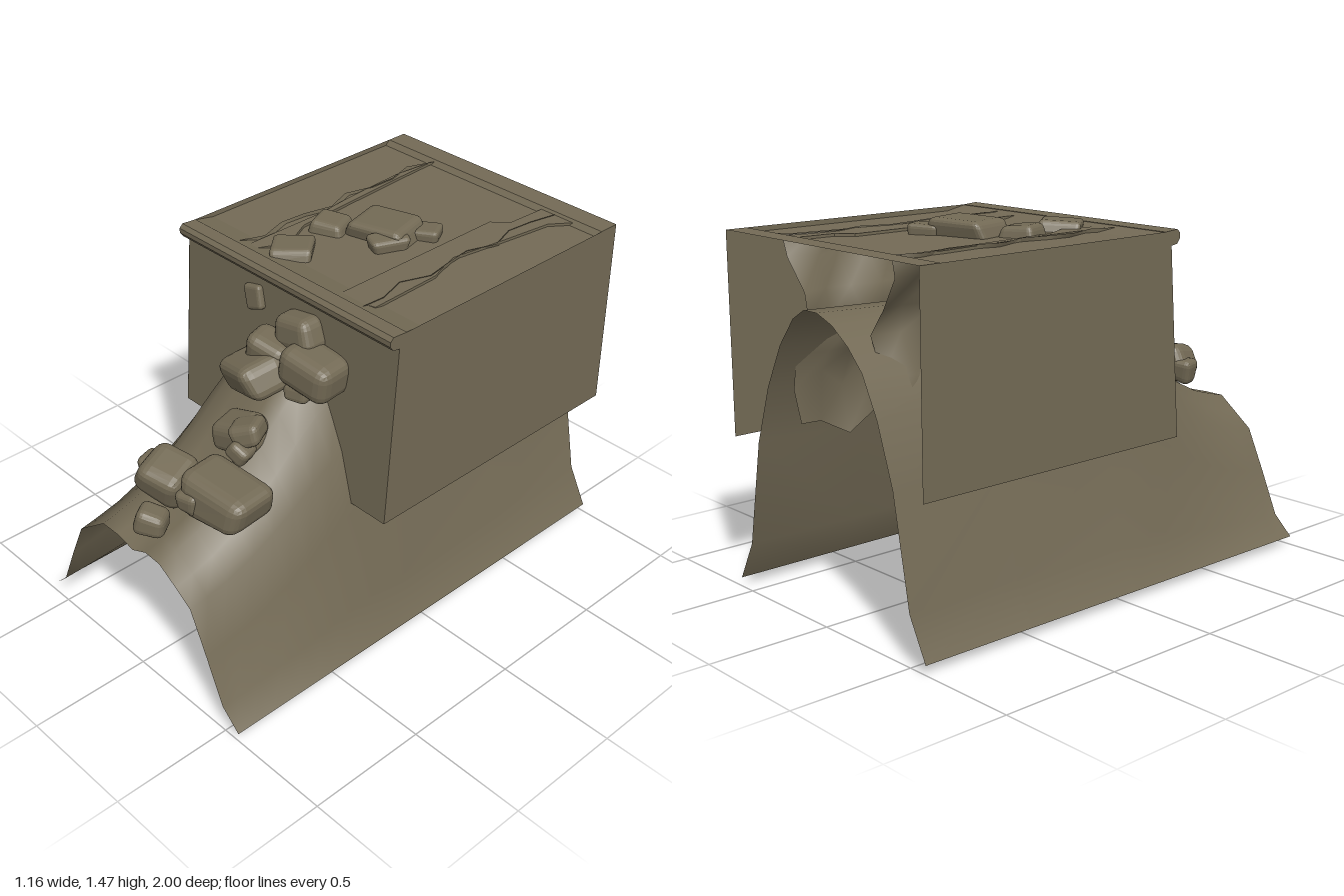
import * as THREE from 'three';
import { RoundedBoxGeometry } from 'three/addons/geometries/RoundedBoxGeometry.js';

const stone = new THREE.MeshStandardMaterial({ color: 0x736a55, side: THREE.DoubleSide });
stone.name = 'brown stone';

// Smooth open surface through rows of [x, y, z] points
function loft(rows) {
  const n = rows[0].length, index = [];
  for (let i = 0; i < rows.length - 1; i++) {
    for (let j = 0; j < n - 1; j++) {
      const a = i * n + j, b = a + n;
      index.push(a, b, a + 1, a + 1, b, b + 1);
    }
  }
  const g = new THREE.BufferGeometry();
  g.setAttribute('position', new THREE.Float32BufferAttribute(rows.flat(2), 3));
  g.setIndex(index);
  g.computeVertexNormals();
  return g;
}

// Sheet with hard edges, following a [z, y] profile across the width
function foldedSheet(profile, x0, x1) {
  const flat = loft([x0, x1].map(x => profile.map(([z, y]) => [x, y, z]))).toNonIndexed();
  flat.computeVertexNormals();
  return flat;
}

export function createModel() {
  const model = new THREE.Group();
  const add = (name, geometry, parent = model) => {
    const mesh = new THREE.Mesh(geometry, stone);
    mesh.name = name;
    parent.add(mesh);
    return mesh;
  };
  const L = -0.585, R = 0.575;

  // Block: roof, front wall and two side walls, open below and behind
  add('roof', foldedSheet([[-1, 1.425], [-0.91, 1.425], [-0.89, 1.405], [0.08, 1.405], [0.18, 1.425]], L, R));
  add('frontWall', foldedSheet([[0.2, 1.4], [0.26, 0.62]], L, R));
  for (const x of [L, R]) {
    const s = new THREE.Shape();
    s.moveTo(-1, 0.62);
    s.lineTo(0.26, 0.62);
    s.lineTo(0.2, 1.425);
    s.lineTo(-1, 1.425);
    const wall = add('sideWall', new THREE.ShapeGeometry(s));
    wall.rotation.y = -Math.PI / 2;
    wall.position.x = x;
  }

  // Rounded lip along the top front edge
  const lip = new THREE.Shape();
  [[0.17, 1.425], [0.235, 1.43], [0.25, 1.415], [0.25, 1.395], [0.235, 1.375], [0.2, 1.37], [0.17, 1.375]]
    .forEach(([z, y], i) => (i ? lip.lineTo(-z, y) : lip.moveTo(-z, y)));
  const lipMesh = add('frontLip', new THREE.ExtrudeGeometry(lip, { depth: R - L, bevelEnabled: false }));
  lipMesh.rotation.y = Math.PI / 2;
  lipMesh.position.x = L;

  // Arched ridge: a low front section blending into a tall rear one
  const low = [[L, 0.04], [-0.5, 0.12], [-0.42, 0.3], [-0.34, 0.47], [-0.26, 0.53], [-0.18, 0.59], [-0.09, 0.59],
    [0, 0.57], [0.08, 0.605], [0.16, 0.6], [0.25, 0.545], [0.33, 0.49], [0.41, 0.31], [0.49, 0.12], [R, 0.04]];
  const tall = [[L, 0.04], [-0.5, 0.2], [-0.42, 0.62], [-0.34, 0.85], [-0.26, 1.0], [-0.18, 1.08], [-0.09, 1.14],
    [0, 1.17], [0.08, 1.17], [0.15, 1.13], [0.24, 1.02], [0.33, 0.85], [0.41, 0.62], [0.49, 0.2], [R, 0.04]];
  const stations = [[1, 0], [0.92, 0.04], [0.82, 0.1], [0.7, 0.22], [0.6, 0.36], [0.5, 0.52], [0.4, 0.7],
    [0.3, 0.86], [0.2, 0.96], [0.05, 1], [-0.5, 1], [-1, 1.03]];
  add('ridge', loft(stations.map(([z, t]) => low.map(([x, y], i) => [
    THREE.MathUtils.lerp(x, tall[i][0], t), THREE.MathUtils.lerp(y, tall[i][1], t), z]))));

  // Ragged rock curtains hanging from the roof inside the ridge
  const hang = [[0.33, 1.42], [0.31, 1.34], [0.24, 1.22], [0.2, 1.12], [0.26, 0.98], [0.31, 0.85], [0.29, 0.68]];
  for (const side of [-1, 1]) {
    const rows = [];
    for (let i = 0; i <= 9; i++) {
      const z = -0.9 + i * 0.119;
      rows.push(hang.map(([x, y], j) => [
        side * (x + 0.025 * Math.sin(i * 2.3 + j * 1.7 + side)),
        y + (j > 4 ? 0.05 * Math.sin(i * 2.1 + j + side) : 0), z]));
    }
    add('rockCurtain', loft(rows));
  }

  // Torn strips along the roof
  const strip = (points) => {
    const s = new THREE.Shape();
    points.forEach(([x, z], i) => (i ? s.lineTo(x, -z) : s.moveTo(x, -z)));
    const mesh = add('roofStrip', new THREE.ExtrudeGeometry(s, { depth: 0.012, bevelEnabled: false }));
    mesh.rotation.x = -Math.PI / 2;
    mesh.position.y = 1.404;
  };
  strip([[-0.32, -0.9], [-0.34, -0.7], [-0.32, -0.4], [-0.3, -0.25], [-0.3, 0.16], [-0.27, 0.17],
    [-0.2, 0.02], [-0.27, -0.12], [-0.29, -0.4], [-0.31, -0.7]]);
  strip([[0.28, -0.9], [0.27, -0.72], [0.21, -0.67], [0.21, 0.17], [0.37, 0.12], [0.36, -0.2],
    [0.31, -0.35], [0.35, -0.6], [0.38, -0.82], [0.44, -0.9]]);

  // Worn boulders: position, size, tilt
  const boulder = (parent, [x, y, z, w, h, d, rx = 0, ry = 0, rz = 0], k) => {
    const g = new RoundedBoxGeometry(w, h, d, 2, Math.min(w, h, d) * 0.3);
    const p = g.attributes.position;
    for (let i = 0; i < p.count; i++) {
      const u = p.getX(i) / w, v = p.getY(i) / h, q = p.getZ(i) / d;
      p.setXYZ(i, p.getX(i) * (1 + 0.25 * v * Math.sin(k * 2)), p.getY(i) * (1 + 0.3 * u * Math.cos(k * 3)),
        p.getZ(i) * (1 - 0.3 * v * Math.cos(k) + 0.1 * q));
    }
    g.computeVertexNormals();
    const mesh = add('boulder', g, parent);
    mesh.position.set(x, y, z);
    mesh.rotation.set(rx, ry, rz);
  };
  const piles = {
    ridgeBoulders: [
      [0.19, 0.765, 0.69, 0.3, 0.17, 0.23, 0, 0.1, -0.03],
      [-0.08, 0.755, 0.76, 0.2, 0.16, 0.19, 0.2, 0.3, -0.4],
      [-0.175, 0.74, 0.75, 0.09, 0.1, 0.1, 0, 0.3, 0.2],
      [0.1, 0.75, 0.79, 0.1, 0.09, 0.09, 0, 0.2, 0],
      [0.025, 0.685, 0.92, 0.12, 0.1, 0.11, 0, 0.6, -0.2],
      [0.05, 0.9, 0.5, 0.2, 0.12, 0.16, 0.2, 0.1, 0.25],
      [0.12, 0.94, 0.52, 0.12, 0.09, 0.12, 0, 0.5, 0.4],
      [0.13, 0.88, 0.57, 0.09, 0.08, 0.09, 0, 0.3, -0.6],
      [0, 1.08, 0.38, 0.26, 0.15, 0.18, 0.2, -0.2, 0.35],
      [0.01, 1.15, 0.31, 0.17, 0.14, 0.14, 0, 0.3, -0.3],
      [0.22, 1.15, 0.28, 0.24, 0.16, 0.18, 0, 0.1, -0.15],
      [0.1, 1.25, 0.24, 0.19, 0.13, 0.12, 0, 0, 0.2],
      [0.18, 1.06, 0.31, 0.11, 0.07, 0.1, 0, 0.2, 0.1],
      [-0.18, 1.265, 0.21, 0.09, 0.1, 0.05, -0.1, 0, 0.3],
    ],
    roofBoulders: [
      [-0.02, 1.425, -0.32, 0.26, 0.09, 0.19, 0, 0.25, 0],
      [0.07, 1.42, -0.25, 0.09, 0.07, 0.15, 0, -0.4, 0],
      [0.1, 1.415, -0.42, 0.12, 0.06, 0.1, 0, 0.5, 0],
      [-0.2, 1.415, -0.2, 0.14, 0.07, 0.14, 0, 0.4, 0],
      [-0.16, 1.415, 0.04, 0.16, 0.06, 0.16, 0, 0.7, 0],
    ],
    groundBoulders: [
      [0.05, 0.07, 0.43, 0.21, 0.1, 0.12, 0, 0.1, 0.15],
      [-0.04, 0.055, 0.42, 0.1, 0.06, 0.09, 0, 0.3, -0.2],
      [0.22, 0.07, 0.5, 0.19, 0.09, 0.13, 0, -0.4, 0.25],
      [0.32, 0.065, 0.55, 0.15, 0.08, 0.12, 0, 0.3, 0.2],
      [0.41, 0.06, 0.59, 0.18, 0.075, 0.12, 0, -0.3, -0.1],
    ],
  };
  let k = 0;
  for (const [name, list] of Object.entries(piles)) {
    const pile = new THREE.Group();
    pile.name = name;
    model.add(pile);
    list.forEach(b => boulder(pile, b, ++k));
  }
  return model;
}
